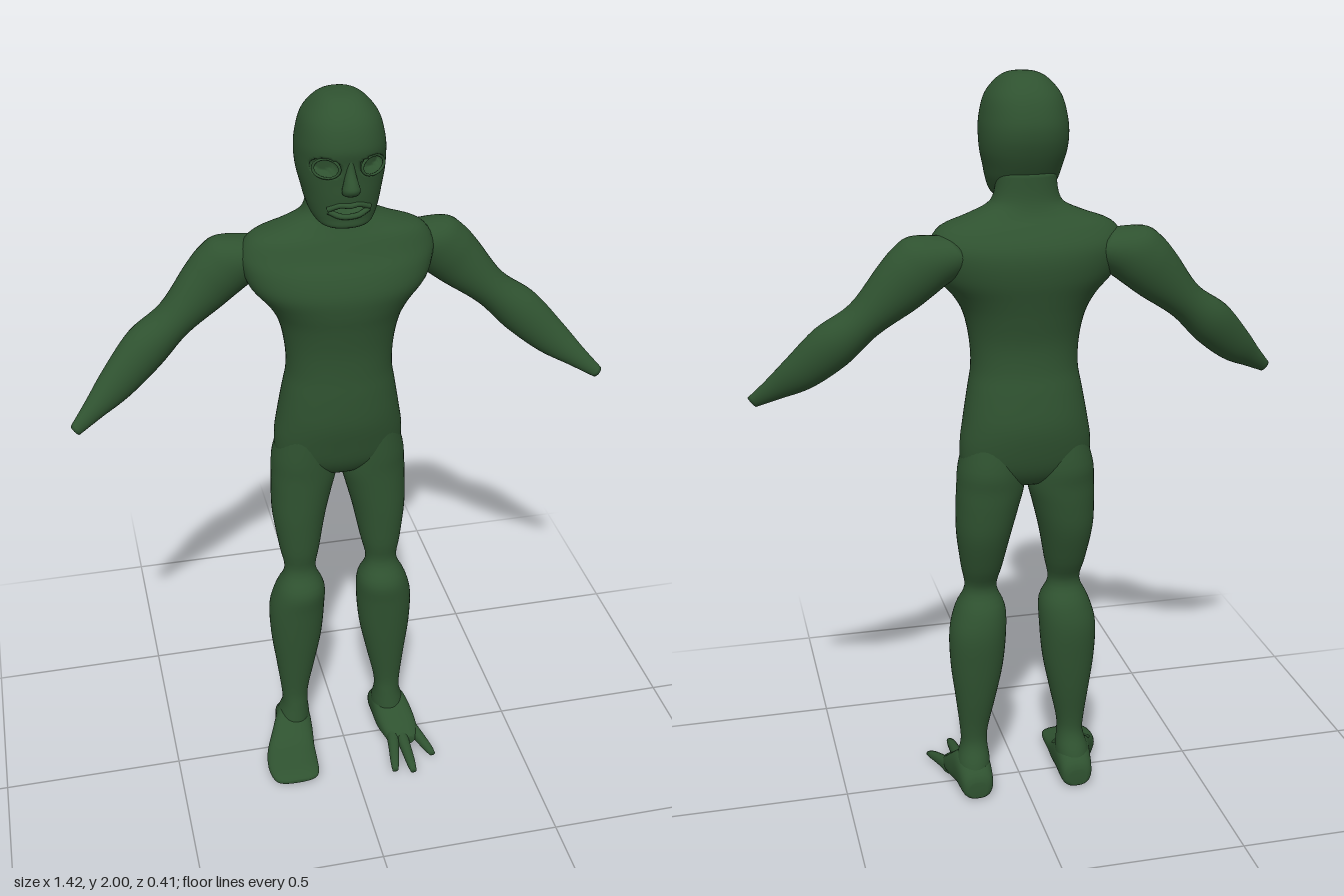
import * as THREE from 'three';

const skin = new THREE.MeshStandardMaterial({ color: 0x2f5230, side: THREE.DoubleSide });
skin.name = 'dark green skin';

const X = new THREE.Vector3(1, 0, 0), Y = new THREE.Vector3(0, 1, 0), Z = new THREE.Vector3(0, 0, 1);

// Smooth value between sections i and i+1
function blend(rows, i, t, k) {
  const at = (n) => rows[Math.min(Math.max(n, 0), rows.length - 1)][k];
  const a = at(i - 1), b = at(i), c = at(i + 1), d = at(i + 2);
  return b + 0.5 * t * (c - a + t * (2 * a - 5 * b + 4 * c - d + t * (3 * (b - c) + d - a)));
}

// Closed body through sections [cx, cy, cz, halfU, halfV]; rule may move each point
function loft(name, rows, { u = X, v = Z, power = 2.2, segs = 40, steps = 4, rule } = {}) {
  const travel = new THREE.Vector3(...rows.at(-1).slice(0, 3)).sub(new THREE.Vector3(...rows[0].slice(0, 3)));
  if (travel.dot(new THREE.Vector3().crossVectors(u, v)) < 0) rows = [...rows].reverse();
  const pos = [], idx = [], p = new THREE.Vector3();
  const curve = (c) => Math.sign(c) * Math.abs(c) ** (2 / power);
  const count = (rows.length - 1) * steps + 1;
  for (let r = 0; r < count; r++) {
    const i = Math.min(Math.floor(r / steps), rows.length - 2), t = r / steps - i;
    const [cx, cy, cz, a, b] = [0, 1, 2, 3, 4].map((k) => blend(rows, i, t, k));
    for (let s = 0; s < segs; s++) {
      const th = (s / segs) * Math.PI * 2;
      p.set(cx, cy, cz);
      p.addScaledVector(u, Math.max(a, 0.002) * curve(Math.cos(th)));
      p.addScaledVector(v, Math.max(b, 0.002) * curve(Math.sin(th)));
      if (rule) rule(p);
      pos.push(p.x, p.y, p.z);
      if (r < count - 1) {
        const n = (s + 1) % segs, q = r * segs;
        idx.push(q + s, q + n, q + segs + s, q + n, q + segs + n, q + segs + s);
      }
    }
  }
  // End caps
  const start = pos.length / 3, last = (count - 1) * segs;
  pos.push(...rows[0].slice(0, 3), ...rows.at(-1).slice(0, 3));
  for (let s = 0; s < segs; s++) {
    const n = (s + 1) % segs;
    idx.push(start, n, s, start + 1, last + s, last + n);
  }
  const g = new THREE.BufferGeometry();
  g.setAttribute('position', new THREE.Float32BufferAttribute(pos, 3));
  g.setIndex(idx);
  g.computeVertexNormals();
  const m = new THREE.Mesh(g, skin);
  m.name = name;
  return m;
}

// Section lying flat: height, x range, z range
const flat = ([y, x0, x1, zb, zf]) => [(x0 + x1) / 2, y, (zb + zf) / 2, (x1 - x0) / 2, (zf - zb) / 2];
const even = ([y, w, zb, zf]) => flat([y, -w, w, zb, zf]);
// Section facing forward: z, x range, y range
const upright = (s) => ([z, x0, x1, y0, y1]) =>
  [(s * (x0 + x1)) / 2, (y0 + y1) / 2, z, (x1 - x0) / 2, (y1 - y0) / 2];

function tube(name, points, radius) {
  const c = new THREE.CatmullRomCurve3(points.map((q) => new THREE.Vector3(...q)));
  const m = new THREE.Mesh(new THREE.TubeGeometry(c, 24, radius, 10), skin);
  m.name = name;
  return m;
}

function makeHead() {
  const head = new THREE.Group();
  head.name = 'head';
  head.add(loft('skull', [
    [2.0, 0.004, -0.05, -0.035], [1.994, 0.04, -0.09, 0.01], [1.975, 0.068, -0.125, 0.045],
    [1.94, 0.094, -0.155, 0.072], [1.89, 0.107, -0.172, 0.086], [1.85, 0.11, -0.172, 0.08],
    [1.81, 0.107, -0.16, 0.075], [1.77, 0.098, -0.14, 0.072], [1.74, 0.091, -0.12, 0.068],
    [1.71, 0.08, -0.09, 0.064], [1.69, 0.062, -0.045, 0.062], [1.68, 0.03, 0, 0.045],
  ].map(even), {
    power: 2.3, segs: 112, steps: 7,
    rule: (p) => {
      if (p.z < 0.02) return;
      // Eye sockets and mouth slit sink into the face
      const eye = ((Math.abs(p.x) - 0.057) / 0.034) ** 2 + ((p.y - 1.845) / 0.024) ** 2;
      if (eye < 1) p.z -= 0.035 * Math.min(1, 2.5 * (1 - eye));
      const slit = (p.x / 0.05) ** 2 + ((p.y - 1.735) / 0.011) ** 2;
      if (slit < 1) p.z -= 0.03 * Math.min(1, 2 * (1 - slit));
    },
  }));
  head.add(loft('nose', [
    [1.875, 0.007, 0.06, 0.08], [1.84, 0.011, 0.06, 0.088], [1.81, 0.018, 0.06, 0.104],
    [1.795, 0.022, 0.06, 0.108], [1.782, 0.02, 0.06, 0.098], [1.775, 0.008, 0.06, 0.08],
  ].map(even), { power: 2, segs: 20 }));
  for (const s of [-1, 1]) {
    const rim = new THREE.Mesh(new THREE.TorusGeometry(0.033, 0.004, 8, 32), skin);
    rim.name = 'eyeRim';
    rim.position.set(s * 0.057, 1.845, 0.066);
    rim.rotation.y = s * 0.45;
    rim.scale.y = 0.72;
    head.add(rim);
  }
  head.add(tube('upperLip', [[-0.052, 1.738, 0.056], [-0.022, 1.75, 0.067], [0, 1.748, 0.07],
    [0.022, 1.75, 0.067], [0.052, 1.738, 0.056]], 0.007));
  head.add(tube('lowerLip', [[-0.05, 1.733, 0.056], [-0.024, 1.721, 0.063], [0, 1.719, 0.066],
    [0.024, 1.721, 0.063], [0.05, 1.733, 0.056]], 0.007));
  return head;
}

function makeLimbs(s) {
  const side = s > 0 ? 'left' : 'right';
  const arm = loft(side + 'Arm', [
    [0.17, 1.575, -0.11, 0.05, 0.06], [0.25, 1.56, -0.115, 0.075, 0.068], [0.295, 1.53, -0.116, 0.077, 0.068],
    [0.34, 1.488, -0.113, 0.07, 0.063], [0.42, 1.412, -0.1, 0.051, 0.056], [0.5, 1.345, -0.084, 0.06, 0.055],
    [0.58, 1.272, -0.053, 0.049, 0.042], [0.645, 1.222, -0.018, 0.03, 0.027], [0.698, 1.183, 0.013, 0.016, 0.014],
  ].map(([x, ...rest]) => [s * x, ...rest]), { u: new THREE.Vector3(s * 0.64, 0.77, 0), power: 2, segs: 32, steps: 5 });

  const leg = loft(side + 'Leg', [
    [1.1, 0.025, 0.15, -0.15, 0.02], [1.0, 0.012, 0.179, -0.168, 0.02], [0.94, 0.006, 0.185, -0.163, 0.017],
    [0.88, 0.02, 0.187, -0.158, 0.016], [0.8, 0.04, 0.186, -0.145, 0.015], [0.7, 0.06, 0.172, -0.108, 0.01],
    [0.63, 0.073, 0.161, -0.076, 0.002], [0.57, 0.05, 0.187, -0.105, 0.034], [0.5, 0.049, 0.205, -0.118, 0.03],
    [0.4, 0.058, 0.203, -0.11, 0.022], [0.3, 0.078, 0.191, -0.096, 0.012], [0.2, 0.1, 0.179, -0.077, 0.002],
    [0.15, 0.103, 0.177, -0.077, 0.005], [0.1, 0.098, 0.19, -0.1, 0.012], [0.04, 0.1, 0.195, -0.115, 0.02],
  ].map(([y, a, b, ...z]) => flat([y, ...(s > 0 ? [a, b] : [-b, -a]), ...z])), { power: 2.1 });

  const heel = [[-0.12, 0.12, 0.17, 0.015, 0.06], [-0.105, 0.1, 0.188, 0.006, 0.09], [-0.04, 0.096, 0.2, 0.005, 0.13]];
  const front = s < 0
    ? [[0.01, 0.097, 0.222, 0.006, 0.1], [0.06, 0.102, 0.243, 0.007, 0.07], [0.11, 0.104, 0.25, 0.008, 0.056],
      [0.15, 0.107, 0.245, 0.01, 0.047], [0.173, 0.118, 0.232, 0.014, 0.038], [0.182, 0.145, 0.205, 0.02, 0.03]]
    : [[0.01, 0.1, 0.212, 0.006, 0.1], [0.05, 0.112, 0.215, 0.008, 0.068], [0.075, 0.122, 0.21, 0.01, 0.055],
      [0.09, 0.14, 0.195, 0.015, 0.045]];
  const foot = loft(side + 'Foot', [...heel, ...front].map(upright(s)), { v: Y, power: 2.5 });
  return [arm, leg, foot];
}

export function createModel() {
  const figure = new THREE.Group();
  figure.name = 'figure';
  // Neck, chest, waist and hips
  figure.add(loft('torso', [
    [1.76, 0.075, -0.135, -0.02], [1.71, 0.081, -0.137, -0.018], [1.68, 0.1, -0.143, -0.008],
    [1.655, 0.155, -0.155, 0.004], [1.63, 0.22, -0.175, 0.018], [1.59, 0.248, -0.2, 0.037],
    [1.55, 0.247, -0.208, 0.06], [1.5, 0.228, -0.203, 0.075], [1.45, 0.185, -0.19, 0.072],
    [1.4, 0.158, -0.177, 0.062], [1.33, 0.143, -0.163, 0.052], [1.26, 0.14, -0.164, 0.05],
    [1.2, 0.15, -0.175, 0.052], [1.12, 0.164, -0.185, 0.05], [1.05, 0.174, -0.177, 0.036],
    [0.99, 0.165, -0.16, 0.02], [0.95, 0.1, -0.13, -0.005], [0.935, 0.03, -0.09, -0.03],
  ].map(even), { segs: 56 }));
  figure.add(makeHead());
  for (const s of [-1, 1]) figure.add(...makeLimbs(s));
  // Three splayed toes on the left foot: root x, root z, tip x, tip z
  for (const [x0, z0, x1, z1] of [[0.14, 0.05, 0.114, 0.188], [0.162, 0.05, 0.165, 0.203], [0.195, 0.03, 0.237, 0.145]]) {
    const rows = [[0, 0.02, 0.034, 0.024], [0.4, 0.016, 0.03, 0.018], [0.8, 0.013, 0.022, 0.013], [1, 0.009, 0.016, 0.008]]
      .map(([t, w, y, h]) => [x0 + (x1 - x0) * t, y, z0 + (z1 - z0) * t, w, h]);
    figure.add(loft('toe', rows, { v: Y, power: 2.2, segs: 16 }));
  }
  return figure;
}
